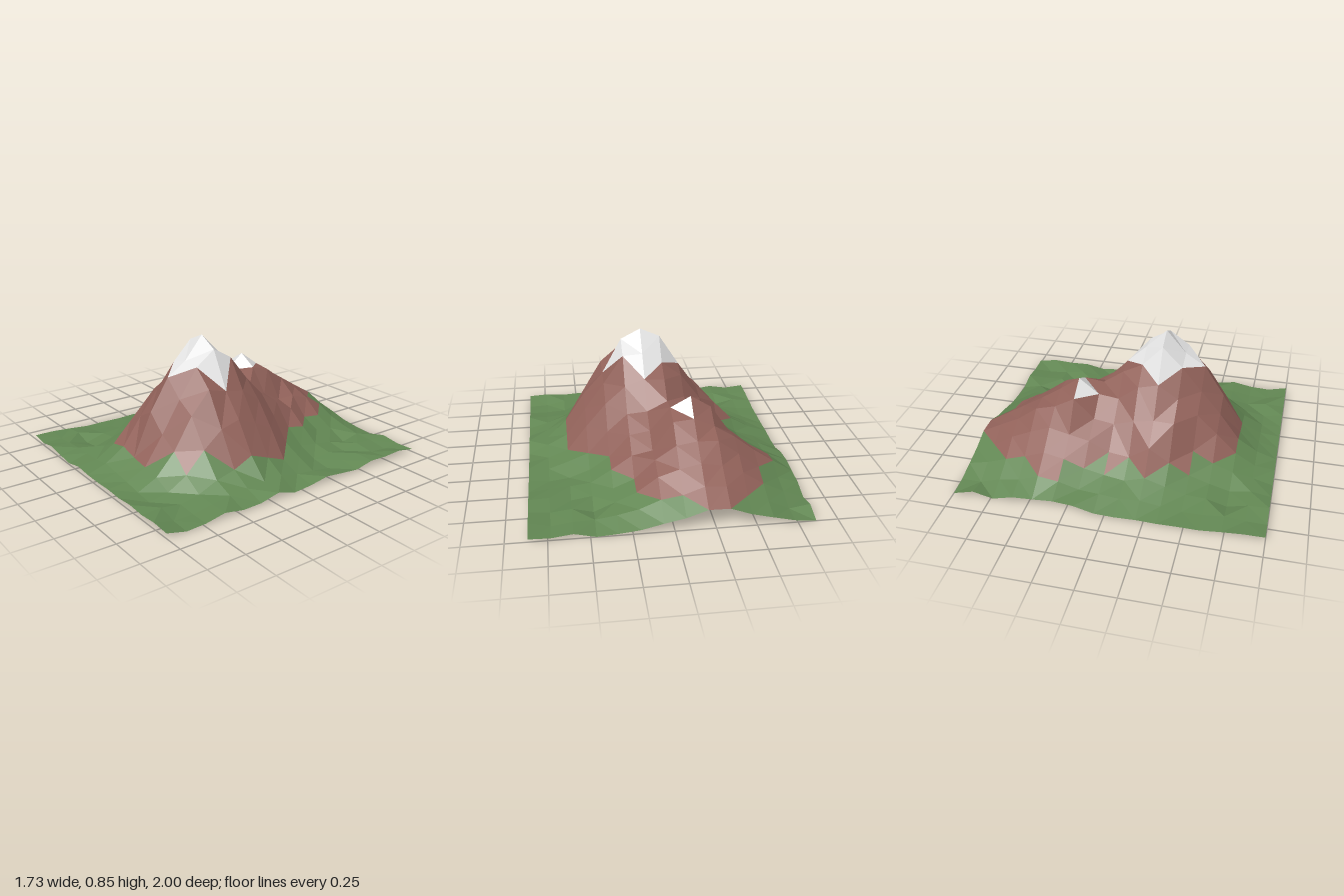
import * as THREE from 'three';

const COLS = 13, ROWS = 15, WIDTH = 1.73, DEPTH = 2;

// Foot of the mountain, where rock gives way to grass, as [x, z, height]
const foot = [
  [-0.33, -1.02, 0.12], [-0.6, -0.7, 0.14], [-0.6, -0.6, 0.17], [-0.735, -0.467, 0.13],
  [-0.735, -0.35, 0.12], [-0.6, -0.33, 0.19], [-0.6, -0.2, 0.14], [-0.48, -0.07, 0.18],
  [-0.6, -0.07, 0.11], [-0.46, 0.06, 0.18], [-0.6, 0.2, 0.13], [-0.47, 0.32, 0.18],
  [-0.47, 0.46, 0.1], [-0.335, 0.46, 0.2], [-0.335, 0.6, 0.12], [-0.2, 0.735, 0.13],
  [-0.07, 0.75, 0.13], [0.2, 0.72, 0.115], [0.335, 0.61, 0.21], [0.47, 0.61, 0.1],
  [0.47, 0.47, 0.24], [0.6, 0.33, 0.13], [0.6, 0.2, 0.19], [0.6, -0.07, 0.09],
  [0.335, -0.33, 0.165], [0.335, -0.467, 0.14], [0.2, -0.6, 0.14], [0.2, -0.75, 0.12],
  [0.065, -0.87, 0.14], [-0.07, -0.87, 0.16], [-0.2, -1.02, 0.12],
];

// Crest points as [x, z, height]: summit, shoulders, saddle, lower peak, back ridge
const crest = [
  [0.065, 0.2, 0.855], [-0.07, 0.2, 0.8], [0.2, 0.2, 0.785], [-0.2, 0.2, 0.59],
  [0.065, 0.333, 0.7], [-0.07, 0.333, 0.665], [0.2, 0.333, 0.69], [0.335, 0.333, 0.58],
  [0.065, 0.467, 0.615], [0.065, 0.6, 0.41], [0.465, 0.2, 0.37],
  [0.065, 0.067, 0.72], [0.2, 0.067, 0.71], [0.065, -0.067, 0.59],
  [-0.07, -0.2, 0.48], [-0.07, -0.333, 0.5], [-0.07, -0.467, 0.46],
  [-0.2, -0.333, 0.57], [-0.335, -0.333, 0.49], [-0.2, -0.467, 0.47],
  [-0.2, -0.6, 0.38], [-0.335, -0.6, 0.375], [-0.07, -0.6, 0.36],
  [-0.27, -0.733, 0.31], [-0.27, -0.867, 0.205],
];

// Gullies cut into the slopes as [x, z, depth]
const gullies = [
  [0.335, 0.2, 0.05], [-0.2, 0.2, 0.03], [-0.335, 0.2, 0.04],
  [0.065, -0.2, 0.06], [0.065, -0.333, 0.05], [0.065, -0.467, 0.05], [-0.07, -0.2, 0.03],
  [-0.2, -0.067, 0.05], [-0.335, -0.067, 0.04], [-0.335, -0.2, 0.03], [-0.467, -0.333, 0.05],
];

function noise(i, j) {
  const s = Math.sin(i * 127.1 + j * 311.7) * 43758.5453;
  return (s - Math.floor(s)) * 2 - 1;
}

function insideFoot(x, z) {
  let inside = false;
  foot.forEach(([ax, az], k) => {
    const [bx, bz] = foot[(k + 1) % foot.length];
    if ((az > z) !== (bz > z) && x < ax + ((z - az) / (bz - az)) * (bx - ax)) inside = !inside;
  });
  return inside;
}

// Distance to the nearest point of the foot line, and the height there
function nearestFoot(x, z) {
  let distance = Infinity, height = 0;
  foot.forEach(([ax, az, ay], k) => {
    const [bx, bz, by] = foot[(k + 1) % foot.length];
    const dx = bx - ax, dz = bz - az;
    const t = THREE.MathUtils.clamp(((x - ax) * dx + (z - az) * dz) / (dx * dx + dz * dz), 0, 1);
    const d = Math.hypot(x - ax - t * dx, z - az - t * dz);
    if (d < distance) {
      distance = d;
      height = ay + t * (by - ay);
    }
  });
  return [distance, height];
}

// Slopes run straight from the crest to the foot, then flatten into rough ground
function heightAt(x, z, i, j) {
  const [d, base] = nearestFoot(x, z);
  if (!insideFoot(x, z)) {
    const rise = Math.max(0, 1 - d / 0.25) ** 1.5;
    const ground = 0.023 + 0.022 * noise(i, j);
    return ground + (base - ground) * rise;
  }
  let h = base, nearest = Infinity;
  for (const [cx, cz, ch] of crest) {
    const r = Math.hypot(x - cx, z - cz);
    nearest = Math.min(nearest, r);
    h = Math.max(h, base + ((ch - base) * d) / (d + r + 1e-6));
  }
  for (const [gx, gz, depth] of gullies) {
    h -= depth * Math.max(0, 1 - Math.hypot(x - gx, z - gz) / 0.12);
  }
  return h + 0.015 * noise(i, j) * Math.min(1, nearest / 0.15, d / 0.1);
}

// Snow lies in a diamond on each peak
function surfaceAt(x, z) {
  if (Math.abs(x - 0.065) + Math.abs(z - 0.2) < 0.262) return 'snow';
  const dx = x + 0.2, dz = z + 0.333;
  if (Math.abs(dx) + Math.abs(dz) < 0.13 && !(dx < 0 && dz < 0)) return 'snow';
  return insideFoot(x, z) ? 'rock' : 'grass';
}

export function createModel() {
  const group = new THREE.Group();
  group.name = 'mountain';

  const point = (i, j) => {
    const x = (i / COLS - 0.5) * WIDTH, z = (j / ROWS - 0.5) * DEPTH;
    return [x, heightAt(x, z, i, j), z];
  };

  // Sort the facets by surface
  const facets = { grass: [], rock: [], snow: [] };
  const addFacet = (a, b, c) => {
    const x = (a[0] + b[0] + c[0]) / 3, z = (a[2] + b[2] + c[2]) / 3;
    facets[surfaceAt(x, z)].push(...a, ...b, ...c);
  };

  // Each cell is split along its flatter diagonal
  for (let i = 0; i < COLS; i++) {
    for (let j = 0; j < ROWS; j++) {
      const a = point(i, j), b = point(i, j + 1), c = point(i + 1, j + 1), d = point(i + 1, j);
      if (Math.abs(a[1] - c[1]) < Math.abs(b[1] - d[1])) {
        addFacet(a, b, c);
        addFacet(a, c, d);
      } else {
        addFacet(a, b, d);
        addFacet(b, c, d);
      }
    }
  }

  // One faceted sheet per surface
  const colors = { grass: 0x628753, rock: 0x92625a, snow: 0xe6e6e6 };
  const names = { grass: 'grassland', rock: 'rockSlopes', snow: 'snowCaps' };
  for (const key of Object.keys(colors)) {
    const material = new THREE.MeshStandardMaterial({
      color: colors[key], flatShading: true, side: THREE.DoubleSide,
    });
    material.name = key;
    const geometry = new THREE.BufferGeometry();
    geometry.setAttribute('position', new THREE.Float32BufferAttribute(facets[key], 3));
    geometry.computeVertexNormals();
    const mesh = new THREE.Mesh(geometry, material);
    mesh.name = names[key];
    group.add(mesh);
  }
  return group;
}
